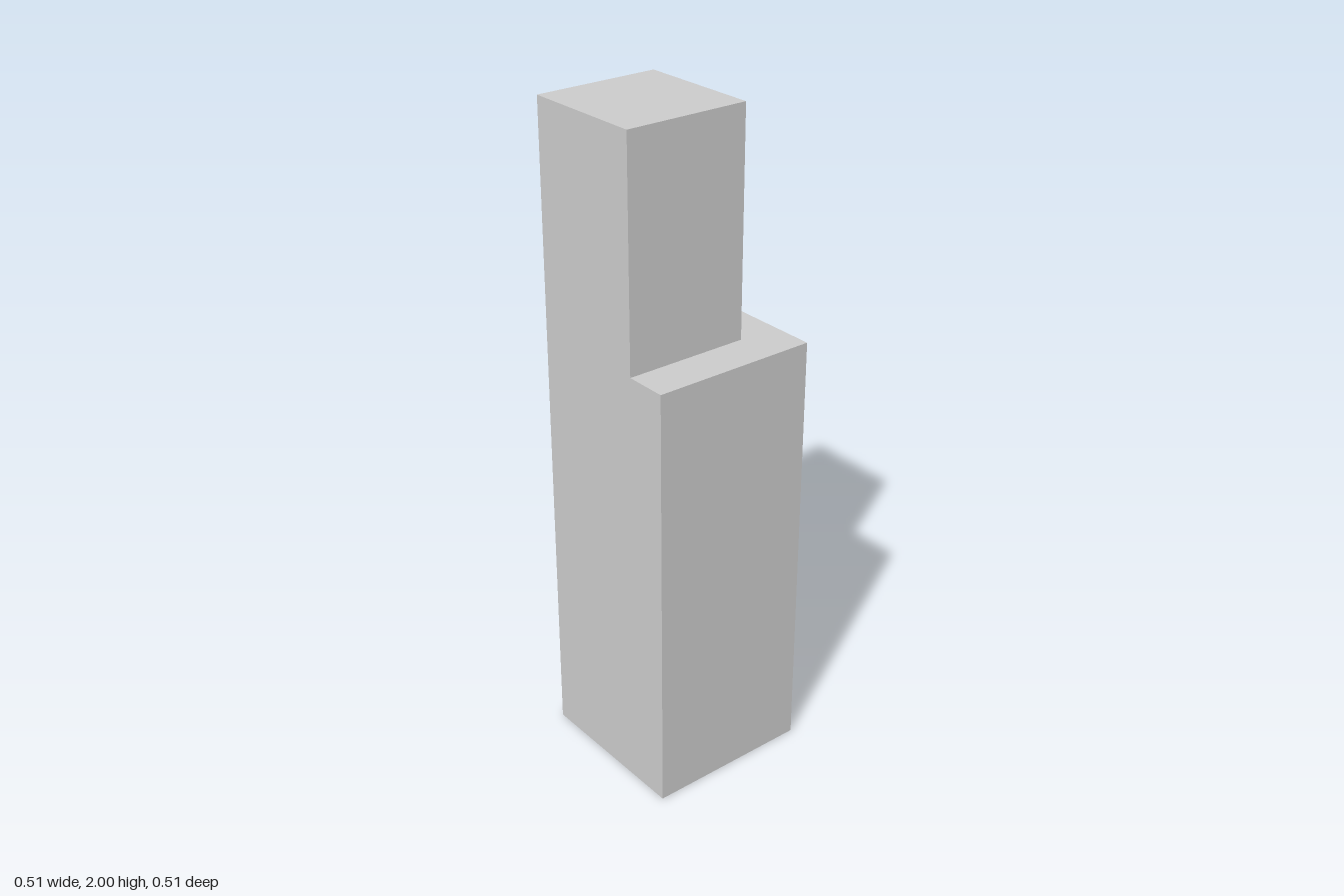
import * as THREE from 'three';

const material = new THREE.MeshStandardMaterial({ color: 0xcccccc, flatShading: true });

// Square block whose back right corner stands on the shared corner line
function block(name, side, bottom, top, corner) {
  const geometry = new THREE.BoxGeometry(side, top - bottom, side);
  geometry.translate(corner + side / 2, (bottom + top) / 2, corner + side / 2);
  const mesh = new THREE.Mesh(geometry, material);
  mesh.name = name;
  return mesh;
}

export function createModel() {
  const model = new THREE.Group();
  model.name = 'steppedTower';
  const corner = -0.255;
  const stepHeight = 1.333;

  // Wide lower block, and the narrower one flush with its back and right faces
  model.add(block('lowerTower', 0.51, 0, stepHeight, corner));
  model.add(block('upperTower', 0.382, stepHeight, 2, corner));
  return model;
}
